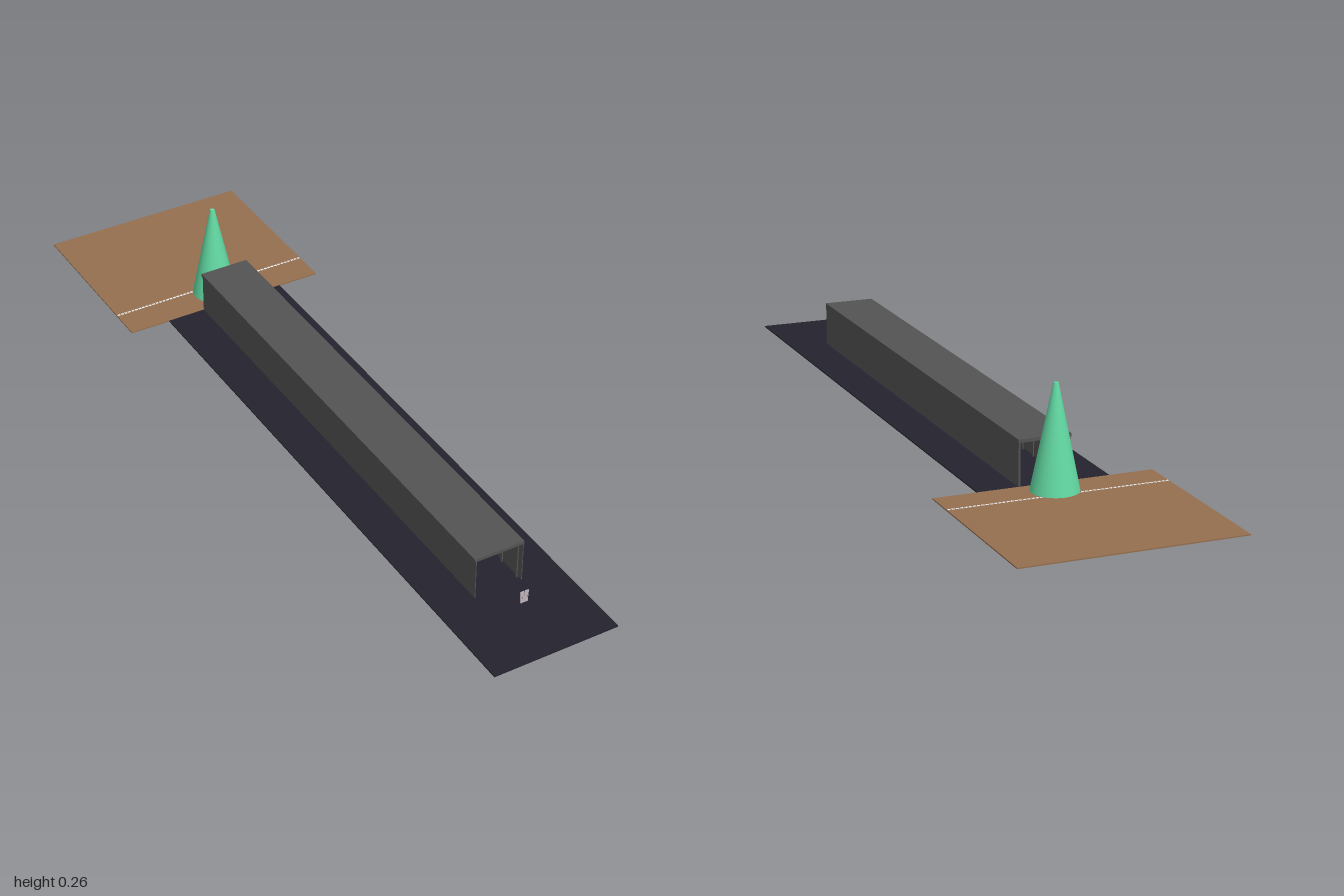
import * as THREE from 'three';

export function createModel() {
  const root = new THREE.Group();
  const mat = (name, color) => {
    const m = new THREE.MeshStandardMaterial({ color });
    m.name = name;
    return m;
  };
  const earth = mat('earth brown', 0x946f4e);
  const asphalt = mat('asphalt', 0x23222e);
  const concrete = mat('concrete grey', 0x535353);
  const mint = mat('mint green', 0x62d8a2);
  const pale = mat('pale grey', 0xbdb4bb);
  const white = mat('white', 0xf0f0f0);
  const wood = mat('dark wood', 0x3a302c);

  const add = (name, geo, material, x, y, z, parent = root) => {
    const mesh = new THREE.Mesh(geo, material);
    mesh.name = name;
    mesh.position.set(x, y, z);
    parent.add(mesh);
    return mesh;
  };
  const box = (name, material, w, h, d, x, y, z, parent) =>
    add(name, new THREE.BoxGeometry(w, h, d), material, x, y, z, parent);
  const group = (name) => {
    const g = new THREE.Group();
    g.name = name;
    root.add(g);
    return g;
  };

  // Flat ground: clearing at the back, road towards the front
  box('clearing', earth, 0.54, 0.003, 0.47, 0, 0.0025, -0.765);
  box('road', asphalt, 0.324, 0.003, 1.53, -0.001, 0.0015, 0.235);

  // Dashed line across the clearing
  const line = group('dashedLine');
  for (let i = 0; i < 54; i++) {
    box('dash', white, 0.0075, 0.0008, 0.005, -0.265 + i * 0.01, 0.0044, -0.615, line);
  }

  // Tapered tower
  add('tower', new THREE.CylinderGeometry(0.006, 0.057, 0.25, 32), mint, 0, 0.132, -0.588);

  // Covered passage: roof, two thin walls and rows of inner pillars
  const passage = group('passage');
  const length = 1.295, middle = 0.1175;
  box('roof', concrete, 0.13, 0.008, length, -0.001, 0.111, middle, passage);
  for (const side of [-1, 1]) {
    box('wall', concrete, 0.002, 0.105, length, side * 0.062, 0.055, middle, passage);
    for (let i = 0; i < 22; i++) {
      const z = -0.52 + i * 0.0605;
      box('pillar', concrete, 0.003, 0.105, 0.006, side * 0.057, 0.055, z, passage);
    }
  }

  // Lamp bar under the roof
  box('lampBar', wood, 0.065, 0.0015, 0.006, 0.012, 0.1045, 0.2, passage);
  box('lamp', pale, 0.045, 0.0015, 0.004, 0.005, 0.103, 0.2, passage);

  // Small table and scattered stones on the passage floor
  const table = group('smallTable');
  box('tableLeg', wood, 0.004, 0.016, 0.004, -0.05, 0.01, 0.3, table);
  box('tableTop', wood, 0.014, 0.003, 0.014, -0.05, 0.0195, 0.3, table);
  for (let i = 0; i < 3; i++) {
    add('stone', new THREE.IcosahedronGeometry(0.003, 0), pale, 0.036 + i * 0.007, 0.006, 0.3 + i * 0.012);
  }

  // Floating double panel in front of the passage
  const panel = group('floatingPanel');
  panel.position.set(0, 0.056, 0.865);
  for (const side of [-1, 1]) {
    const leaf = box('panelLeaf', pale, 0.0098, 0.031, 0.003, side * 0.0052, 0, 0, panel);
    leaf.rotation.z = -side * 0.05;
    box('panelKnob', wood, 0.001, 0.004, 0.004, side * 0.0065, 0, 0, panel);
  }

  return root;
}
